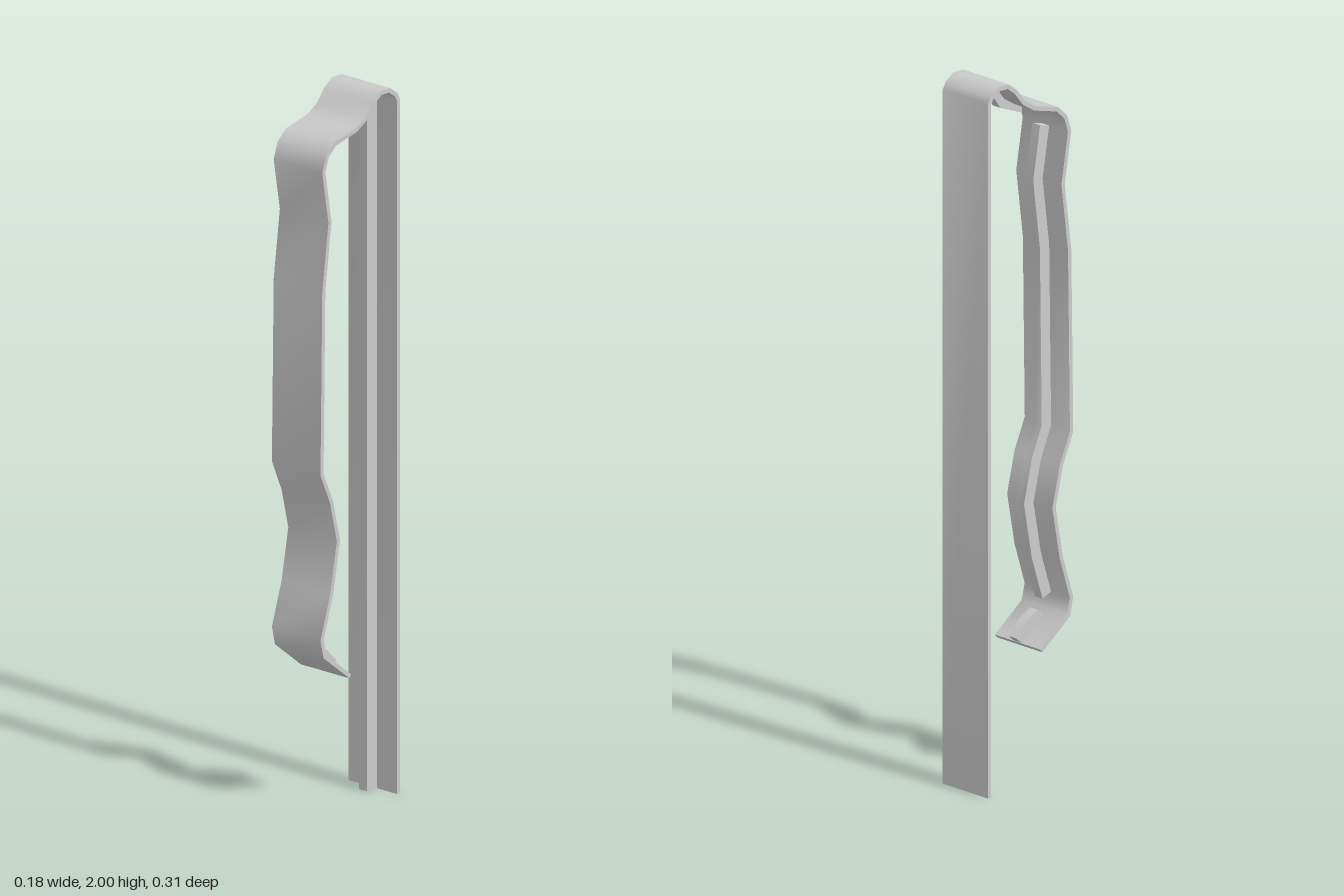
import * as THREE from 'three';
import { toCreasedNormals } from 'three/addons/utils/BufferGeometryUtils.js';

const THICK = 0.012;
const STRIP_WIDTH = 0.18;
const RIB_WIDTH = 0.03;

// Outer profile of the bent strip as [z, y]: up the back, over the hook, down the front
const PROFILE = [
  [-0.156, 0], [-0.156, 1.96], [-0.145, 1.98], [-0.117, 2.0], [-0.08, 2.0], [-0.05, 1.978],
  [-0.02, 1.94], [0.016, 1.918], [0.1, 1.897], [0.133, 1.867], [0.148, 1.82],
  [0.124, 1.675], [0.148, 1.484], [0.155, 0.97], [0.117, 0.88], [0.091, 0.768],
  [0.117, 0.625], [0.155, 0.503], [0.143, 0.45], [0.042, 0.37],
];

// Mitred offset of an open path towards the inside of the clip
function offsetPath(path, d) {
  const pts = path.map(p => new THREE.Vector2(...p));
  const normal = i => {
    const s = pts[i + 1].clone().sub(pts[i]).normalize();
    return new THREE.Vector2(s.y, -s.x);
  };
  return pts.map((p, i) => {
    const a = normal(Math.max(i - 1, 0));
    const b = normal(Math.min(i, pts.length - 2));
    const m = a.clone().add(b).normalize();
    return [p.x + m.x * d / m.dot(a), p.y + m.y * d / m.dot(a)];
  });
}

// Extrude a closed [z, y] outline symmetrically across x
function addPart(group, name, outline, width, crease) {
  const shape = new THREE.Shape(outline.map(p => new THREE.Vector2(...p)));
  const geo = new THREE.ExtrudeGeometry(shape, { depth: width, bevelEnabled: false });
  geo.translate(0, 0, -width / 2).rotateY(-Math.PI / 2);
  const mesh = new THREE.Mesh(
    toCreasedNormals(geo, crease),
    new THREE.MeshStandardMaterial({ color: 0xcccccc })
  );
  mesh.name = name;
  group.add(mesh);
}

export function createModel() {
  const group = new THREE.Group();
  group.name = 'clip';

  // Bent strip: back plate, hook, wavy front arm and lip in one piece
  const inner = offsetPath(PROFILE, THICK);
  addPart(group, 'strip', [...PROFILE, ...inner.slice().reverse()], STRIP_WIDTH, 0.9);

  // Ribs sink slightly into the strip
  const seat = offsetPath(PROFILE, THICK * 0.7);

  // Rib along the back plate and under the hook
  addPart(group, 'backRib', [
    ...seat.slice(0, 8), [0.036, 1.904],
    [0.036, 1.878], [-0.042, 1.908], [-0.085, 1.967], [-0.097, 1.97],
    [-0.106, 1.945], [-0.106, 0],
  ], RIB_WIDTH, 0.5);

  // Rib following the waves of the front arm
  const arm = PROFILE.slice(10, 18);
  addPart(group, 'armRib', [
    ...seat.slice(10, 18),
    ...offsetPath(arm, 0.046).reverse(),
  ], RIB_WIDTH, 0.5);

  // Short rib on the lip
  addPart(group, 'lipRib', [
    [0.118, 0.441], [0.038, 0.378], [0.014, 0.398], [0.053, 0.437], [0.095, 0.461],
  ], RIB_WIDTH, 0.5);

  return group;
}
